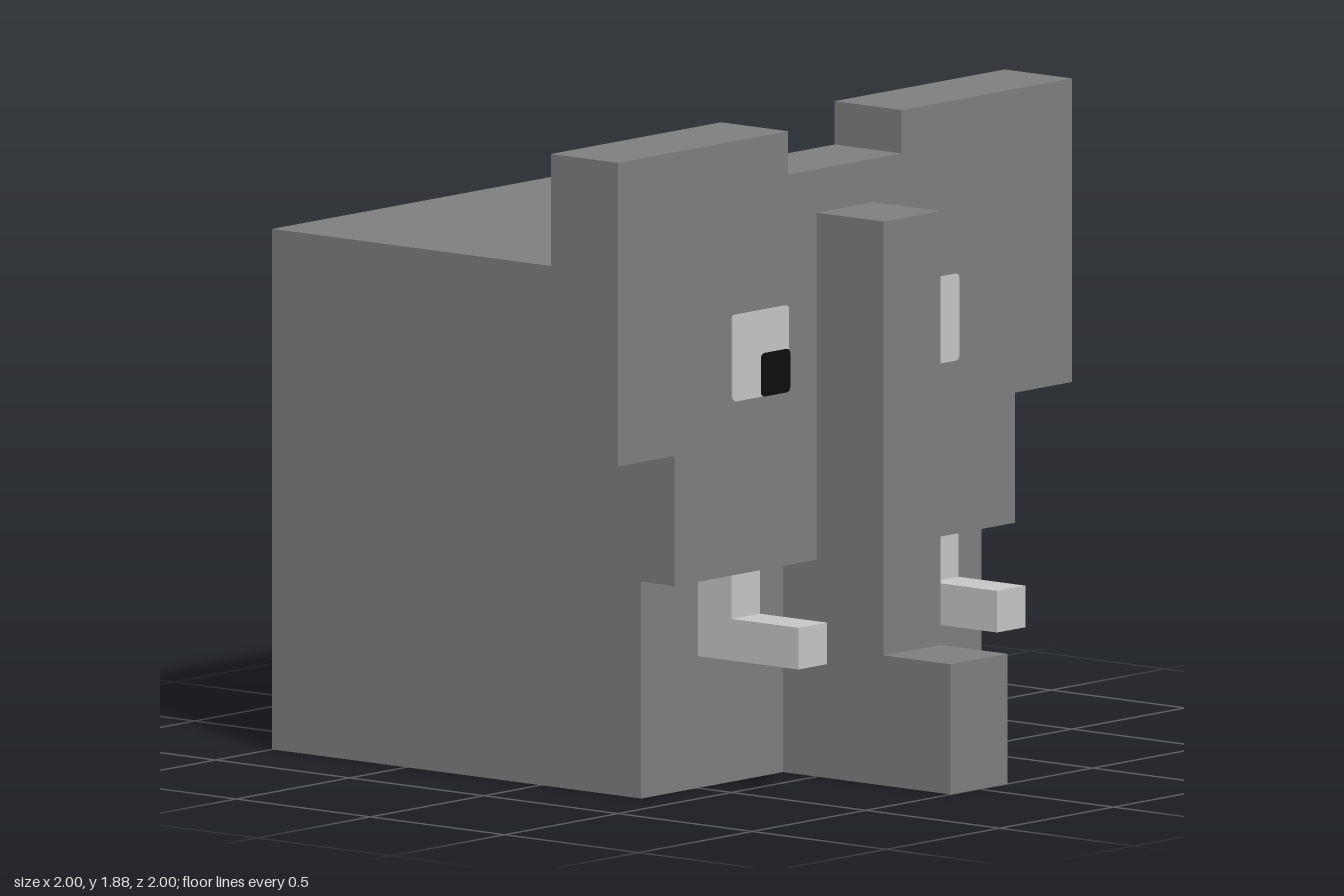
import * as THREE from 'three';

const material = (name, color) => {
  const m = new THREE.MeshStandardMaterial({ color });
  m.name = name;
  return m;
};

export function createModel() {
  const model = new THREE.Group();
  model.name = 'blockElephant';
  const grey = material('skinGrey', 0x808080);
  const ivory = material('ivory', 0xc8c8c8);
  const black = material('pupilBlack', 0x0d0d0d);

  // Box given by its extents along each axis
  function box(name, mat, [x0, x1], [y0, y1], [z0, z1]) {
    const mesh = new THREE.Mesh(new THREE.BoxGeometry(x1 - x0, y1 - y0, z1 - z0), mat);
    mesh.position.set((x0 + x1) / 2, (y0 + y1) / 2, (z0 + z1) / 2);
    mesh.name = name;
    model.add(mesh);
  }

  // Thin square plate with slightly rounded corners, lying on the face
  function plate(name, mat, x, y, size, z, depth) {
    const r = 0.015, s = size / 2;
    const shape = new THREE.Shape();
    shape.absarc(s - r, s - r, r, 0, Math.PI / 2);
    shape.absarc(r - s, s - r, r, Math.PI / 2, Math.PI);
    shape.absarc(r - s, r - s, r, Math.PI, Math.PI * 1.5);
    shape.absarc(s - r, r - s, r, Math.PI * 1.5, Math.PI * 2);
    const geometry = new THREE.ExtrudeGeometry(shape, { depth, bevelEnabled: false, curveSegments: 4 });
    const mesh = new THREE.Mesh(geometry, mat);
    mesh.position.set(x, y, z);
    mesh.name = name;
    model.add(mesh);
  }

  // Body and flat face
  box('body', grey, [-0.75, 0.75], [0, 1.5], [-1, 0.375]);
  box('lowerFace', grey, [-0.75, 0.75], [0.625, 1], [0.25, 0.5]);
  box('forehead', grey, [-0.25, 0.25], [1, 1.75], [0.25, 0.5]);

  // Trunk: long drop, root against the body, and forward tip
  box('trunk', grey, [-0.125, 0.125], [0.375, 1.625], [0.5, 0.75]);
  box('trunkRoot', grey, [-0.125, 0.125], [0.375, 0.625], [0.375, 0.5]);
  box('trunkTip', grey, [-0.125, 0.125], [0, 0.375], [0.375, 1]);

  // Mirrored ears, tusks and eyes
  for (const [side, s] of [['left', 1], ['right', -1]]) {
    const span = (a, b) => (s > 0 ? [a, b] : [-b, -a]);
    box(side + 'Ear', grey, span(0.25, 1), [1, 1.875], [0.25, 0.5]);
    box(side + 'TuskRoot', ivory, span(0.375, 0.5), [0.5, 0.625], [0.375, 0.5]);
    box(side + 'Tusk', ivory, span(0.375, 0.5), [0.38, 0.5], [0.375, 0.75]);
    plate(side + 'EyeWhite', ivory, s * 0.375, 1.25, 0.25, 0.5, 0.004);
    plate(side + 'Pupil', black, s * 0.3125, 1.1875, 0.125, 0.5, 0.008);
  }
  return model;
}
